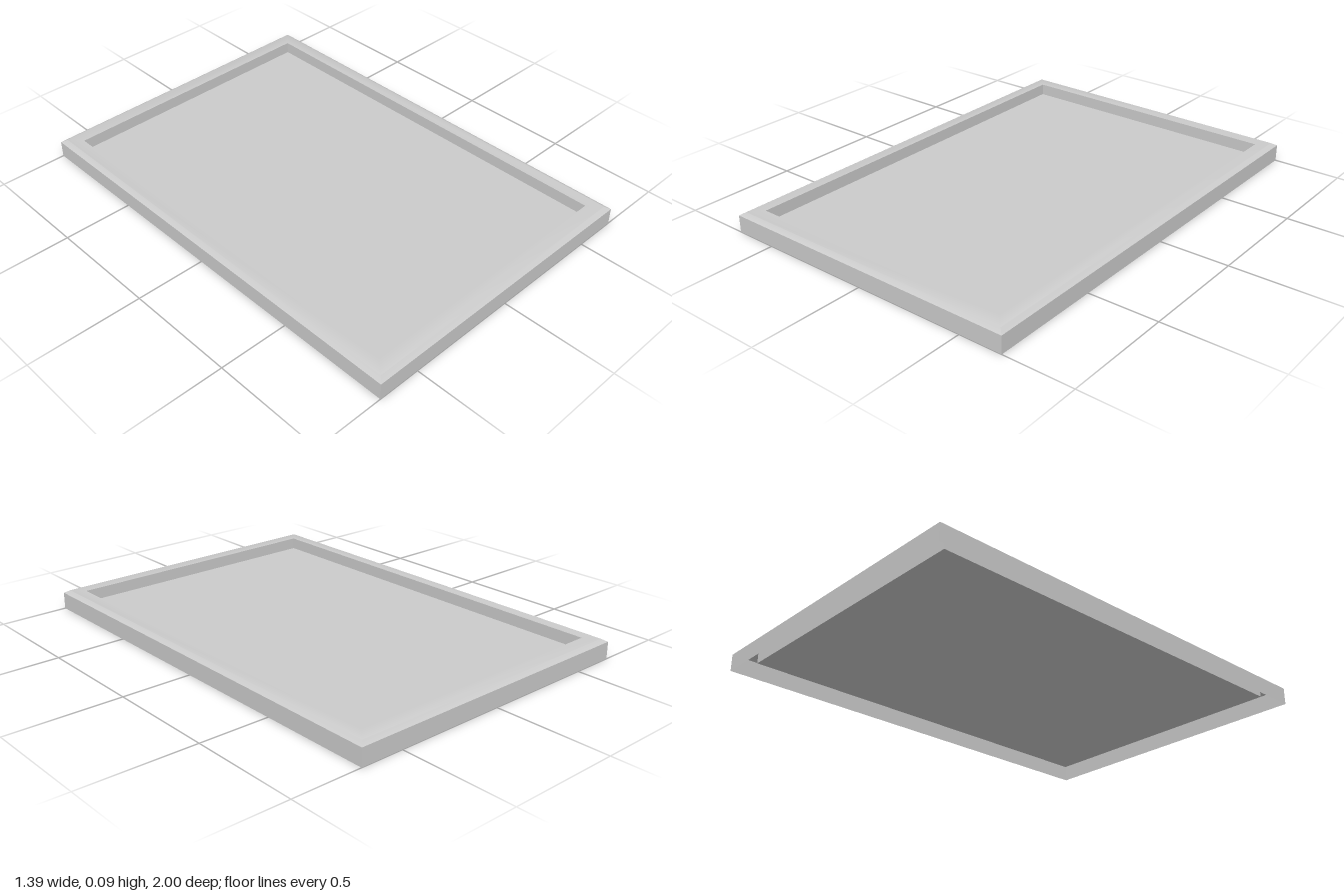
import * as THREE from 'three';
import { toCreasedNormals } from 'three/addons/utils/BufferGeometryUtils.js';

const material = new THREE.MeshStandardMaterial({ color: 0xcccccc, side: THREE.DoubleSide });

// Rim profile as rectangles: half width, half length, height
const profile = [
  [0.693, 1, 0],
  [0.693, 1, 0.076],
  [0.671, 0.978, 0.089],
  [0.62, 0.92, 0.089],
  [0.62, 0.92, 0.036],
];
const corners = [[1, 1], [1, -1], [-1, -1], [-1, 1]];

// Joins successive rectangles of the profile into a mitred shell, open below
function rimGeometry() {
  const points = [];
  const at = ([w, l, y], k) => {
    const [sx, sz] = corners[k % 4];
    return [sx * w, y, sz * l];
  };
  for (let i = 0; i < profile.length - 1; i++) {
    for (let k = 0; k < 4; k++) {
      const a = at(profile[i], k), b = at(profile[i], k + 1);
      const c = at(profile[i + 1], k + 1), d = at(profile[i + 1], k);
      points.push(...a, ...b, ...c, ...a, ...c, ...d);
    }
  }
  const geometry = new THREE.BufferGeometry();
  geometry.setAttribute('position', new THREE.Float32BufferAttribute(points, 3));
  return toCreasedNormals(geometry, 0.6);
}

export function createModel() {
  const group = new THREE.Group();
  group.name = 'tray';

  // Hollow rim with a bevelled outer edge
  const rim = new THREE.Mesh(rimGeometry(), material);
  rim.name = 'rim';

  // Thin recessed panel
  const [w, l, y] = profile[profile.length - 1];
  const panel = new THREE.Mesh(new THREE.PlaneGeometry(2 * w, 2 * l).rotateX(-Math.PI / 2), material);
  panel.name = 'panel';
  panel.position.y = y;

  group.add(rim, panel);
  return group;
}
